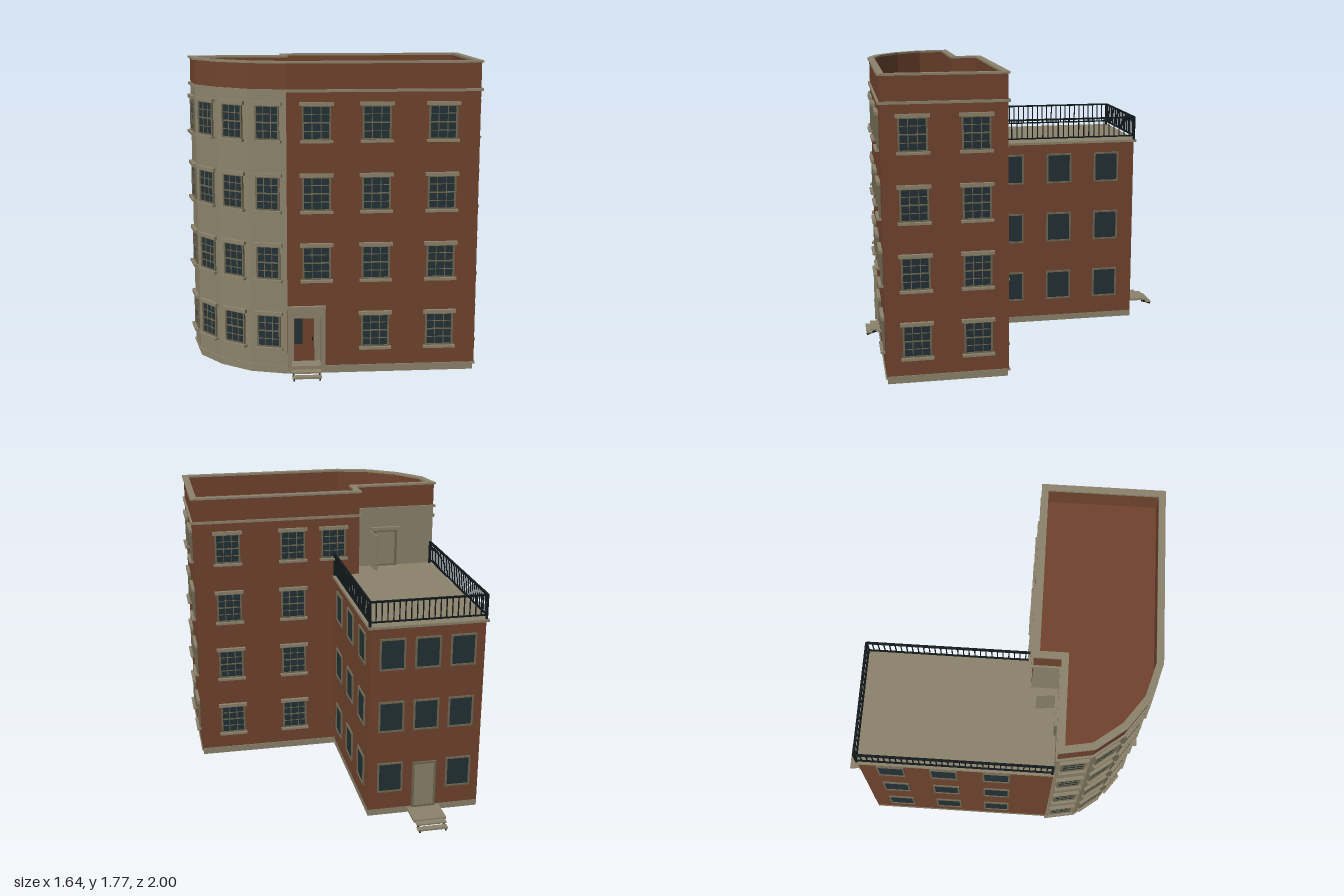
import * as THREE from 'three';

const mat = (name, color) => {
  const m = new THREE.MeshStandardMaterial({ color });
  m.name = name;
  return m;
};

export function createModel() {
  const brick = mat('brick', 0x70432e);
  const stone = mat('stone', 0x8c836b);
  const trim = mat('trim', 0x6f6852);
  const glass = mat('glass', 0x233135);
  const iron = mat('iron', 0x12191c);

  const model = new THREE.Group();
  model.name = 'cornerBuilding';

  const add = (parent, name, geo, material, x = 0, y = 0, z = 0) => {
    const m = new THREE.Mesh(geo, material);
    m.name = name;
    m.position.set(x, y, z);
    parent.add(m);
    return m;
  };
  const box = (parent, name, material, w, h, d, x, y, z) =>
    add(parent, name, new THREE.BoxGeometry(w, h, d), material, x, y, z);

  // Footprints as [x, z]; each wall runs left to right seen from outside
  const front = [[-0.27, 0.92], [0.79, 0.92], [0.79, 0.22], [-0.27, 0.22], [-0.27, 0.38],
    [-0.805, 0.38], [-0.77, 0.57], [-0.645, 0.735], [-0.475, 0.86]];
  const wing = [[-0.11, 0.22], [-0.11, -0.77], [-0.79, -0.77], [-0.79, 0.38], [-0.27, 0.38], [-0.27, 0.22]];

  // Moves every footprint edge outward by d, with mitred corners
  const offset = (pts, d) => pts.map((p, i) => {
    const a = pts[(i + pts.length - 1) % pts.length], b = pts[(i + 1) % pts.length];
    const normal = (s, e) => {
      const l = Math.hypot(e[0] - s[0], e[1] - s[1]);
      return [-(e[1] - s[1]) / l, (e[0] - s[0]) / l];
    };
    const n = normal(a, p), m = normal(p, b);
    const k = d / (1 + n[0] * m[0] + n[1] * m[1]);
    return [p[0] + (n[0] + m[0]) * k, p[1] + (n[1] + m[1]) * k];
  });

  // Horizontal slab or ring following a footprint
  const slab = (name, material, pts, y0, y1, out = 0, inner = null) => {
    const vec = (list) => list.map(([x, z]) => new THREE.Vector2(x, -z));
    const shape = new THREE.Shape(vec(offset(pts, out)));
    if (inner !== null) shape.holes.push(new THREE.Path(vec(offset(pts, inner))));
    const geo = new THREE.ExtrudeGeometry(shape, { depth: y1 - y0, bevelEnabled: false });
    geo.rotateX(-Math.PI / 2);
    add(model, name, geo, material, 0, y0, 0);
  };

  // Group whose local +z points out of the wall p-q, at distance u along it
  const onWall = (name, p, q, u, y) => {
    const dx = q[0] - p[0], dz = q[1] - p[1], t = u / Math.hypot(dx, dz);
    const g = new THREE.Group();
    g.name = name;
    g.position.set(p[0] + dx * t, y, p[1] + dz * t);
    g.rotation.y = Math.atan2(-dz, dx);
    model.add(g);
    return g;
  };
  const wall = (name, material, p, q, y0, y1) => {
    const len = Math.hypot(q[0] - p[0], q[1] - p[1]);
    const g = onWall(name, p, q, len / 2, (y0 + y1) / 2);
    add(g, name + 'Face', new THREE.PlaneGeometry(len, y1 - y0), material);
  };

  const frame = (g, w, h, t, d) => {
    for (const s of [-1, 1]) {
      box(g, 'frameSide', trim, t, h, d, s * (w / 2 - t / 2), 0, d / 2);
      box(g, 'frameRail', trim, w, t, d, 0, s * (h / 2 - t / 2), d / 2);
    }
  };
  // Plain window, or sash window with lintel, sill and glazing bars
  const windowAt = (p, q, u, y, w, sash) => {
    const g = onWall(sash ? 'sashWindow' : 'plainWindow', p, q, u, y), h = 0.185;
    box(g, 'pane', glass, w, h, 0.006, 0, 0, 0.001);
    frame(g, w + 0.008, h + 0.008, 0.01, 0.01);
    if (!sash) return;
    for (const s of [-1, 1]) box(g, 'glazingBar', trim, 0.004, h, 0.004, s * w / 6, 0, 0.005);
    for (const s of [-1, 0, 1]) box(g, 'sashRail', trim, w, s ? 0.004 : 0.008, 0.004, 0, s * h / 4, 0.005);
    box(g, 'lintel', stone, w + 0.035, 0.02, 0.02, 0, h / 2 + 0.01, 0.01);
    box(g, 'sill', stone, w + 0.03, 0.014, 0.026, 0, -h / 2 - 0.009, 0.013);
  };

  const floors = [0.265, 0.66, 1.05, 1.44];
  const Y0 = 0.055, Y1 = 1.61, DECK = 1.225;

  // Plinths and bands
  slab('frontPlinth', stone, front, 0.015, Y0, -0.006);
  slab('wingPlinth', stone, wing, 0.015, Y0);
  slab('plinthBand', stone, front, 0.05, 0.062, 0.006, -0.005);
  slab('corniceBand', stone, front, 1.605, 1.62, 0.012, -0.01);
  slab('roof', brick, front, 1.6, 1.625, -0.005);
  slab('parapet', brick, front, 1.615, 1.76, 0, -0.025);
  slab('parapetCap', stone, front, 1.758, 1.77, 0.01, -0.03);
  slab('roofDeck', stone, wing, 1.21, DECK, 0.015);

  // Front block walls, with a gap for the entrance
  wall('frontWall', brick, [-0.27, 0.92], [-0.25, 0.92], Y0, Y1);
  wall('frontWall', brick, [-0.25, 0.92], [-0.08, 0.92], 0.345, Y1);
  wall('frontWall', brick, [-0.08, 0.92], front[1], Y0, Y1);
  wall('sideWall', brick, front[1], front[2], Y0, Y1);
  wall('backWall', brick, front[2], front[3], Y0, Y1);
  wall('alcoveSide', stone, front[3], front[4], DECK - 0.02, Y1);
  wall('alcoveBack', stone, front[4], front[5], DECK - 0.02, Y1);
  for (let i = 5; i < 9; i++) wall('bayWall', stone, front[i], front[(i + 1) % 9], Y0, Y1);

  // Sash windows on every floor of the front block
  floors.forEach((y, f) => {
    for (const x of [-0.107, 0.222, 0.585]) {
      if (f || x > 0) windowAt(front[0], front[1], x + 0.27, y, 0.15, true);
    }
    for (const z of [0.745, 0.397]) windowAt(front[1], front[2], 0.92 - z, y, 0.155, true);
    for (const x of [0.58, 0.165]) windowAt(front[2], front[3], 0.79 - x, y, 0.15, true);
    for (let i = 5; i < 9; i++) {
      const p = front[i], q = front[(i + 1) % 9];
      windowAt(p, q, Math.hypot(q[0] - p[0], q[1] - p[1]) / 2, y, 0.128, true);
    }
  });
  windowAt(front[2], front[3], 0.79 + 0.1, floors[3], 0.15, true);

  // Rear wing walls and plain windows
  for (let i = 0; i < 3; i++) wall('wingWall', brick, wing[i], wing[i + 1], Y0, 1.212);
  floors.slice(0, 3).forEach((y, f) => {
    for (const z of [0.045, -0.27, -0.585]) {
      windowAt(wing[0], wing[1], 0.22 - z, y, 0.155, false);
      windowAt(wing[2], wing[3], z + 0.77, y, 0.155, false);
    }
    for (const u of [0.13, 0.34, 0.55]) {
      if (f || u !== 0.34) windowAt(wing[1], wing[2], u, y, 0.145, false);
    }
  });

  // Rear door and roof deck door, the latter with its leaf standing open
  const rearDoor = onWall('rearDoor', wing[1], wing[2], 0.34, 0.2);
  box(rearDoor, 'rearDoorPanel', stone, 0.13, 0.29, 0.008, 0, 0, 0.002);
  frame(rearDoor, 0.145, 0.3, 0.012, 0.012);
  const deckDoor = onWall('deckDoor', front[4], front[5], 0.21, 1.345);
  box(deckDoor, 'deckDoorway', stone, 0.13, 0.24, 0.008, 0, 0, 0.003);
  frame(deckDoor, 0.16, 0.25, 0.015, 0.015);
  box(deckDoor, 'deckDoorLintel', stone, 0.19, 0.02, 0.025, 0, 0.133, 0.0125);
  box(model, 'deckDoorLeaf', stone, 0.01, 0.235, 0.115, -0.39, 1.345, 0.31).rotation.y = 0.12;

  // Recessed main entrance with stone surround
  wall('entranceSide', stone, [-0.25, 0.92], [-0.25, 0.82], Y0, 0.345);
  wall('entranceSide', stone, [-0.08, 0.82], [-0.08, 0.92], Y0, 0.345);
  wall('entranceBack', stone, [-0.25, 0.82], [-0.08, 0.82], Y0, 0.345);
  box(model, 'entranceCeiling', stone, 0.17, 0.005, 0.1, -0.165, 0.3475, 0.869);
  box(model, 'mainDoor', brick, 0.115, 0.285, 0.01, -0.172, 0.2, 0.823);
  box(model, 'mainDoorPane', glass, 0.045, 0.17, 0.006, -0.205, 0.245, 0.828);
  box(model, 'mainDoorHandle', iron, 0.006, 0.02, 0.01, -0.125, 0.19, 0.832);
  for (const x of [-0.257, -0.07]) box(model, 'pilaster', stone, 0.022, 0.3, 0.016, x, 0.2, 0.927);
  box(model, 'entranceLintel', stone, 0.21, 0.05, 0.016, -0.163, 0.37, 0.927);
  box(model, 'entranceCornice', stone, 0.215, 0.018, 0.022, -0.163, 0.404, 0.93);

  // Front and rear steps on short sloping stringers
  const steps = (name, x, w, z, dir) => {
    const g = new THREE.Group();
    g.name = name;
    g.position.set(x, 0, z);
    model.add(g);
    box(g, 'upperTread', stone, w, 0.01, 0.042, 0, 0.037, dir * 0.018);
    box(g, 'lowerTread', stone, w, 0.01, 0.038, 0, 0.018, dir * 0.051);
    for (const s of [-1, 1]) {
      box(g, 'stringer', iron, 0.008, 0.012, 0.066, s * w * 0.44, 0.016, dir * 0.037).rotation.x = dir * 0.32;
    }
  };
  steps('frontSteps', -0.165, 0.165, 0.93, 1);
  steps('rearSteps', -0.45, 0.18, -0.93, -1);
  box(model, 'rearLanding', stone, 0.2, 0.014, 0.16, -0.45, 0.043, -0.85);

  // Iron railing around the roof deck
  const railing = (p, q) => {
    const len = Math.hypot(q[0] - p[0], q[1] - p[1]);
    const g = onWall('deckRailing', p, q, len / 2, 0);
    box(g, 'topRail', iron, len, 0.01, 0.014, 0, 1.37, 0);
    box(g, 'bottomRail', iron, len, 0.008, 0.01, 0, 1.25, 0);
    const n = Math.round(len / 0.034);
    for (let i = 0; i <= n; i++) {
      const post = i === 0 || i === n, h = post ? 0.15 : 0.12, t = post ? 0.012 : 0.006;
      box(g, post ? 'railPost' : 'baluster', iron, t, h, t, -len / 2 + (len * i) / n, 1.37 - h / 2, 0);
    }
  };
  const corners = [[-0.105, 0.21], [-0.105, -0.77], [-0.79, -0.77], [-0.79, 0.37]];
  for (let i = 0; i < 3; i++) railing(corners[i], corners[i + 1]);

  return model;
}
